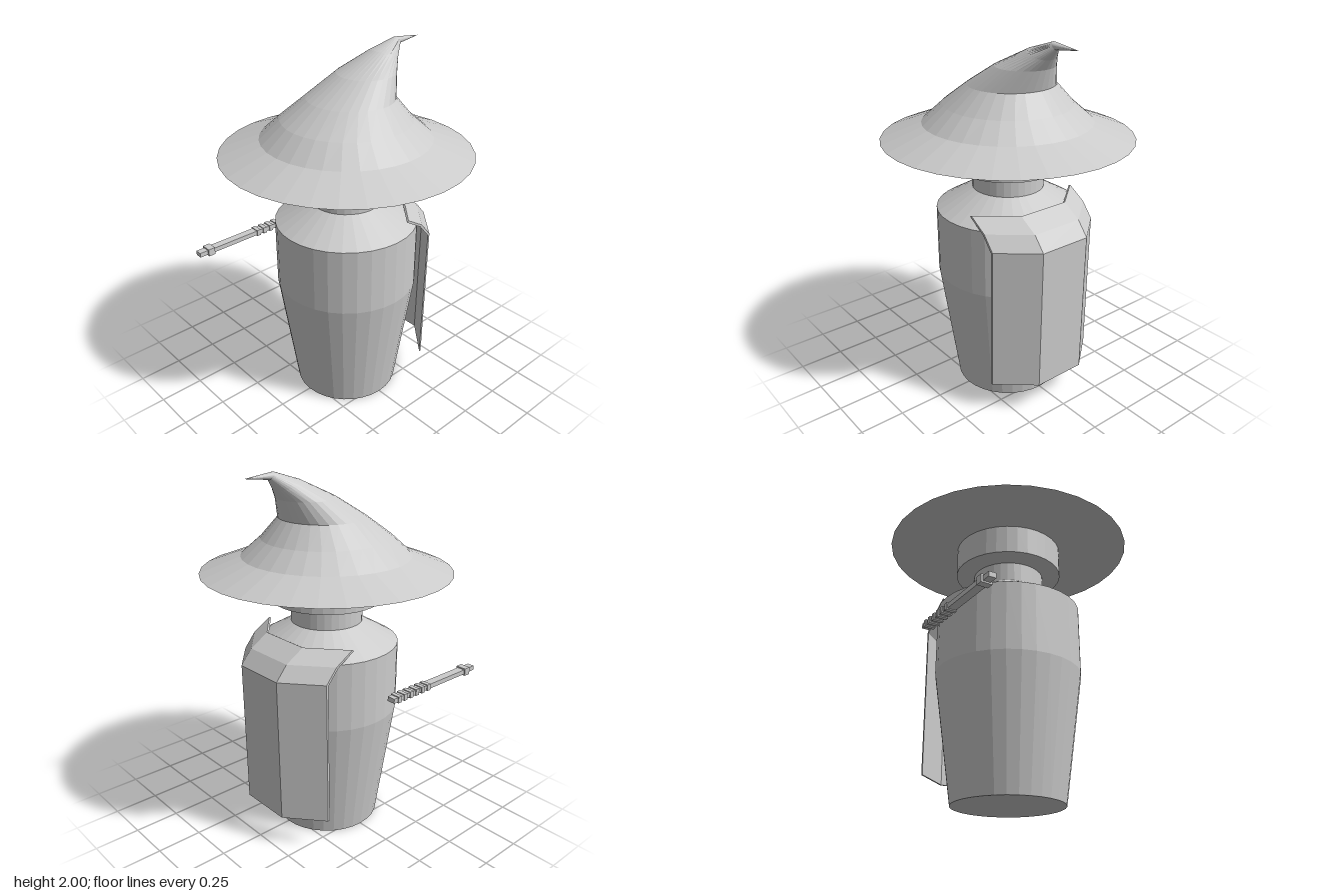
import * as THREE from 'three';

const SIDES = 32;
const material = new THREE.MeshStandardMaterial({ color: 0xcccccc, flatShading: true });

function addMesh(parent, name, geometry) {
  const mesh = new THREE.Mesh(geometry, material);
  mesh.name = name;
  parent.add(mesh);
  return mesh;
}

// Turned solid from [radius, height] pairs, bottom to top
function turned(points) {
  return new THREE.LatheGeometry(points.map(([r, y]) => new THREE.Vector2(r, y)), SIDES);
}

// Closed solid through equal-length cross-sections, bottom to top
function loft(rings) {
  const n = rings[0].length;
  const index = [];
  const last = (rings.length - 1) * n;
  for (let j = 0; j < rings.length - 1; j++) {
    for (let i = 0; i < n; i++) {
      const a = j * n + i, b = j * n + (i + 1) % n;
      index.push(a, a + n, b, b, a + n, b + n);
    }
  }
  for (let i = 0; i < n / 2 - 1; i++) {
    const a = i, b = i + 1, c = n - 2 - i, d = n - 1 - i;
    index.push(a, b, c, a, c, d);
    index.push(last + a, last + c, last + b, last + a, last + d, last + c);
  }
  const geometry = new THREE.BufferGeometry();
  geometry.setAttribute('position', new THREE.Float32BufferAttribute(rings.flat(2), 3));
  geometry.setIndex(index);
  const flat = geometry.toNonIndexed();
  flat.computeVertexNormals();
  return flat;
}

// Bent hat: each section is a tilted ellipse between its left and right edge points
function hatGeometry() {
  const sections = [ // xLeft, yLeft, xRight, yRight, half depth
    [-0.675, 1.46, 0.675, 1.46, 0.675],
    [-0.455, 1.545, 0.455, 1.545, 0.455],
    [-0.345, 1.645, 0.35, 1.637, 0.345],
    [-0.2, 1.747, 0.26, 1.747, 0.236],
    [-0.02, 1.855, 0.295, 1.857, 0.157],
    [0.19, 1.953, 0.33, 1.91, 0.08],
    [0.34, 2.0, 0.37, 1.963, 0.022],
    [0.51, 1.981, 0.51, 1.98, 0.001],
  ];
  return loft(sections.map(([xl, yl, xr, yr, w]) => {
    const ring = [];
    for (let i = 0; i < SIDES; i++) {
      const t = (i / SIDES) * Math.PI * 2;
      const k = (1 + Math.cos(t)) / 2;
      ring.push([xl + (xr - xl) * k, yl + (yr - yl) * k, w * Math.sin(t)]);
    }
    return ring;
  }));
}

// Three-panel cape, folded over the shoulder
function capeGeometry() {
  const profile = [[0.46, 0.175], [0.472, 0.985], [0.405, 1.065], [0.297, 1.13]];
  const columns = [[0.165, -0.345], [0, -0.15], [0, 0.15], [0.165, 0.345]]; // inset, z
  return loft(profile.map(([x, y], row) => {
    const drop = row === 0 ? 0 : 0.007;
    const outer = columns.map(([inset, z]) => [x - inset, y, z]);
    const inner = columns.map(([inset, z]) => [x - inset - 0.012, y - drop, z]).reverse();
    return [...outer, ...inner];
  }));
}

// Slim rod with ribbed grip, collar and end piece
function createRod() {
  const rod = new THREE.Group();
  rod.name = 'rod';
  rod.position.set(0, 0.864, -0.5);
  const block = (name, x0, x1, height, depth) => {
    const mesh = addMesh(rod, name, new THREE.BoxGeometry(x1 - x0, height, depth));
    mesh.position.x = (x0 + x1) / 2;
  };
  block('rodShaft', -0.6, 0, 0.026, 0.046);
  block('rodCollar', -0.61, -0.57, 0.042, 0.06);
  block('rodEnd', -0.66, -0.61, 0.026, 0.04);
  for (let i = 0; i < 6; i++) {
    const x = -0.04 - i * 0.045;
    block('gripRib', x - 0.012, x + 0.012, 0.036, 0.056);
  }
  return rod;
}

export function createModel() {
  const model = new THREE.Group();
  model.name = 'hattedFigure';
  addMesh(model, 'torso', turned([[0, 0], [0.295, 0], [0.393, 0.69], [0.393, 1.065], [0.195, 1.18]]));
  addMesh(model, 'neck', turned([[0.195, 1.18], [0.195, 1.287]]));
  addMesh(model, 'head', turned([[0.195, 1.287], [0.295, 1.3], [0.295, 1.46]]));
  addMesh(model, 'hat', hatGeometry());
  addMesh(model, 'cape', capeGeometry());
  model.add(createRod());
  return model;
}
